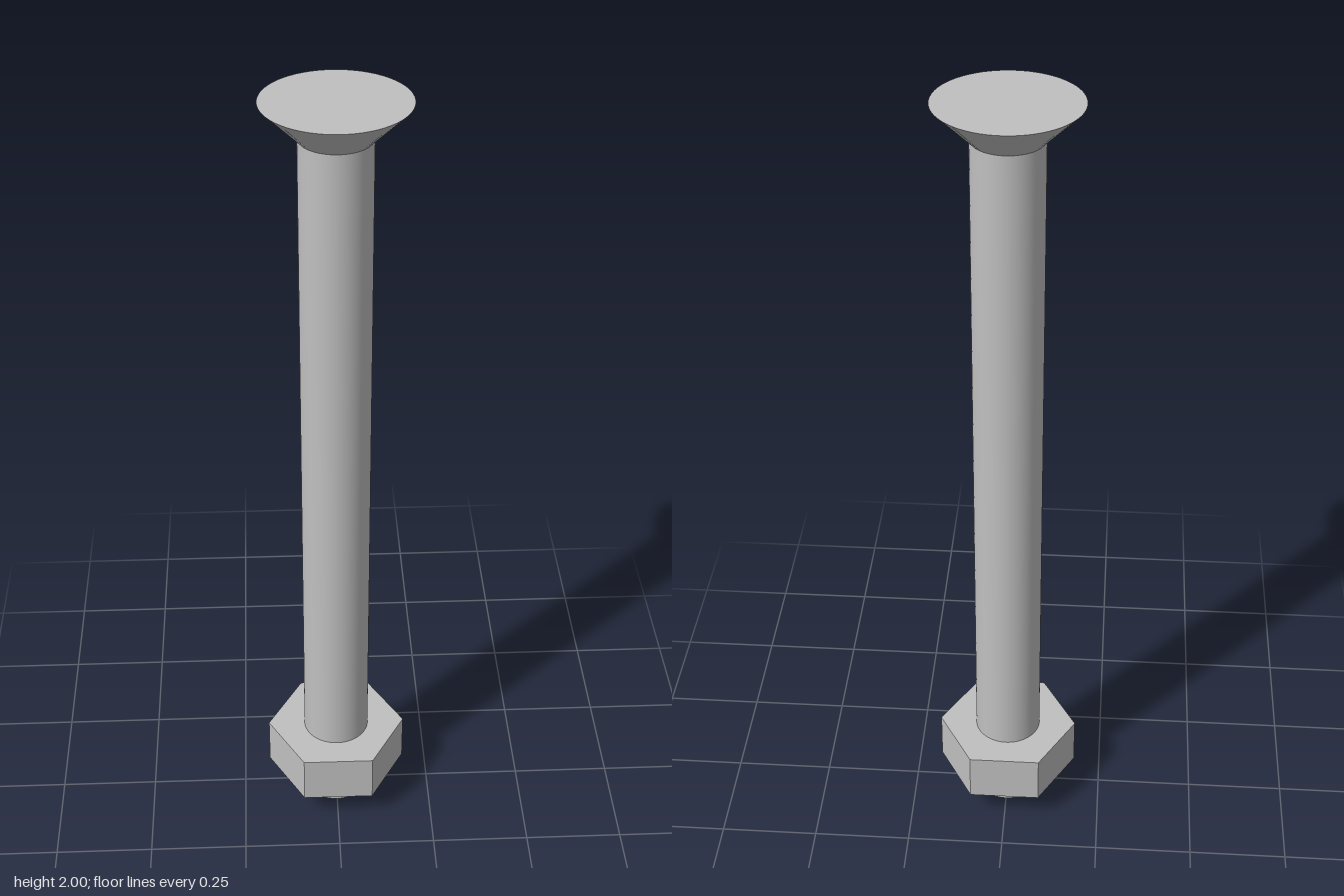
import * as THREE from 'three';

const SHANK_R = 0.085, HEAD_R = 0.17, NUT_R = 0.181;
const HEAD_BASE = 1.915, TOP = 2, NUT_BASE = 0.08, NUT_HEIGHT = 0.13;

export function createModel() {
  const group = new THREE.Group();
  group.name = 'countersunkBolt';

  const steel = new THREE.MeshStandardMaterial({ color: 0xc0c0c0 });
  steel.name = 'steel grey';

  function add(name, geometry, y) {
    const mesh = new THREE.Mesh(geometry, steel);
    mesh.name = name;
    mesh.position.y = y;
    group.add(mesh);
    return mesh;
  }

  // Round shank, closed at the lower end and covered by the head above
  const shank = new THREE.CylinderGeometry(SHANK_R, SHANK_R, HEAD_BASE, 64);
  add('shank', shank, HEAD_BASE / 2);

  // Flat-topped conical head
  const headHeight = TOP - HEAD_BASE;
  const head = new THREE.CylinderGeometry(HEAD_R, SHANK_R, headHeight, 64);
  add('countersunkHead', head, HEAD_BASE + headHeight / 2);

  // Hexagonal nut with a round bore, corners pointing to the left and right
  const hexagon = new THREE.Shape();
  for (let i = 0; i < 6; i++) {
    const a = i * Math.PI / 3;
    hexagon[i ? 'lineTo' : 'moveTo'](NUT_R * Math.cos(a), NUT_R * Math.sin(a));
  }
  hexagon.closePath();
  const bore = new THREE.Path();
  bore.absarc(0, 0, SHANK_R, 0, Math.PI * 2, true);
  hexagon.holes.push(bore);
  const nut = new THREE.ExtrudeGeometry(hexagon, {
    depth: NUT_HEIGHT, bevelEnabled: false, curveSegments: 64,
  });
  nut.rotateX(-Math.PI / 2);
  add('hexNut', nut, NUT_BASE);

  return group;
}
